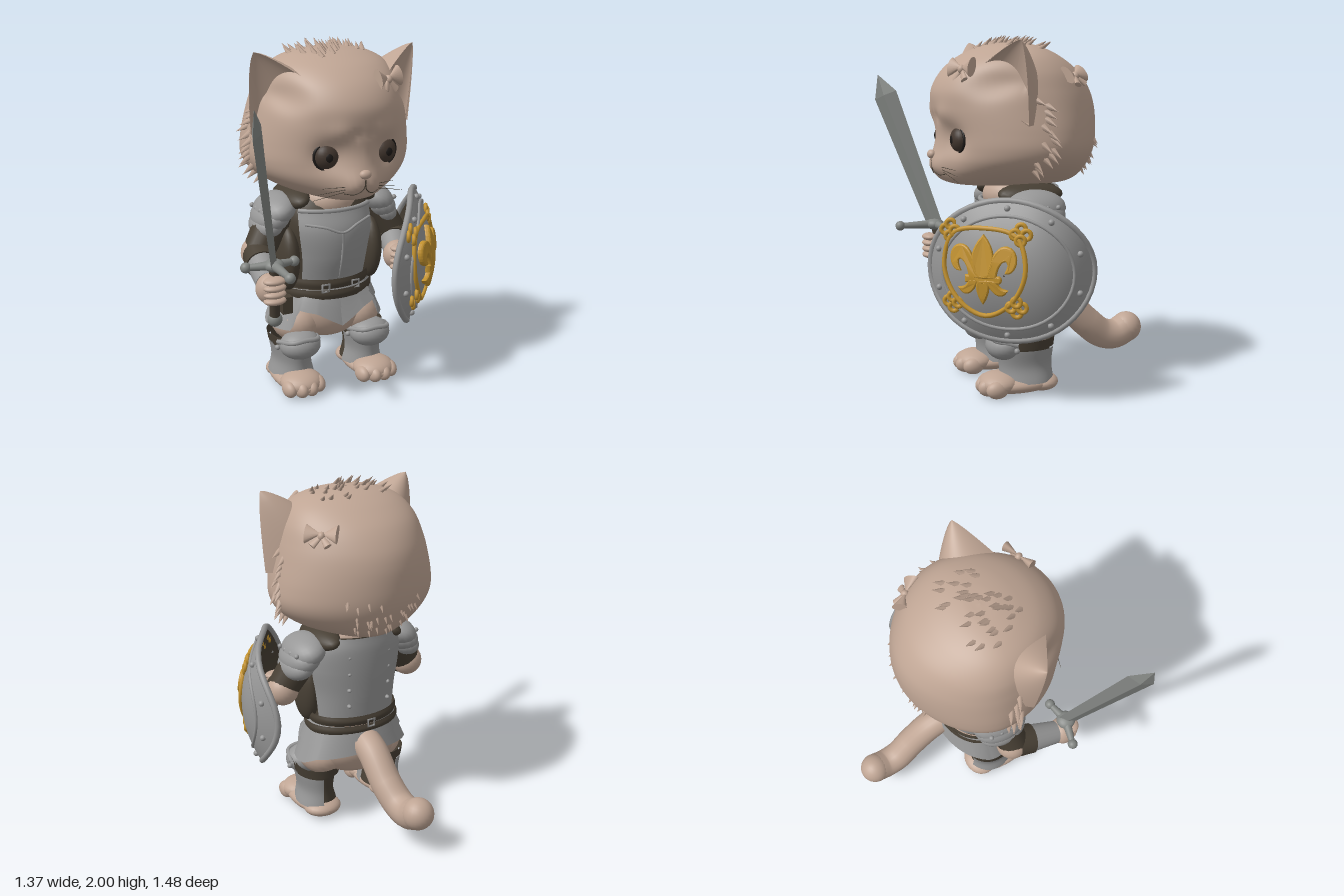
import * as THREE from 'three';
import { ParametricGeometry } from 'three/addons/geometries/ParametricGeometry.js';

const V = (x, y, z) => new THREE.Vector3(x, y, z);
const mat = (name, color, side = THREE.FrontSide) => {
  const m = new THREE.MeshStandardMaterial({ color, side });
  m.name = name;
  return m;
};

export function createModel() {
  const root = new THREE.Group();
  root.name = 'kittenKnight';
  const fur = mat('fur', 0xbfa594), steel = mat('steel', 0x979797, THREE.DoubleSide);
  const leather = mat('darkLeather', 0x473f34, THREE.DoubleSide), gold = mat('gold', 0xc4932f);
  const eyeBrown = mat('eyeBrown', 0x43372f), black = mat('pupilBlack', 0x1d1917), bladeMat = mat('bladeSteel', 0x838683);
  let seed = 7;
  const rnd = () => (seed = (seed * 16807) % 2147483647) / 2147483647;

  // ---------- helpers ----------
  const add = (name, geo, m, parent = root) => {
    const mesh = new THREE.Mesh(geo, m);
    mesh.name = name;
    parent.add(mesh);
    return mesh;
  };
  const ball = (name, p, s, m, parent) => {
    const b = add(name, new THREE.SphereGeometry(1, 24, 16), m, parent);
    b.position.copy(p);
    b.scale.set(...(Array.isArray(s) ? s : [s, s, s]));
    return b;
  };
  // Stand an object at p with its y axis along dir and its z axis near face
  const place = (o, p, dir, face) => {
    const y = dir.clone().normalize(), x = new THREE.Vector3().crossVectors(y, face).normalize();
    o.quaternion.setFromRotationMatrix(new THREE.Matrix4().makeBasis(x, y, new THREE.Vector3().crossVectors(x, y)));
    o.position.copy(p);
    return o;
  };
  const rod = (name, a, b, ra, rb, m, parent) => {
    const d = b.clone().sub(a);
    const r = add(name, new THREE.CylinderGeometry(rb, ra, d.length(), 20), m, parent);
    r.position.copy(a).add(b).multiplyScalar(0.5);
    r.quaternion.setFromUnitVectors(V(0, 1, 0), d.normalize());
    return r;
  };
  const tube = (name, pts, r, m, closed = false, parent = root) =>
    add(name, new THREE.TubeGeometry(new THREE.CatmullRomCurve3(pts, closed), 48, r, 8, closed), m, parent);
  const flat = (g) => { const f = g.toNonIndexed(); f.computeVertexNormals(); return f; };
  // Surface through rings of [y, half width, front z, back z]; angle 90 degrees is the front
  const surface = (rings, a0 = 0, a1 = Math.PI * 2, cx = 0, bend = () => {}) => {
    const A = new THREE.CatmullRomCurve3(rings.map((r) => V(r[1], r[0], 0)), false, 'catmullrom');
    const B = new THREE.CatmullRomCurve3(rings.map((r) => V(r[2], r[3], 0)), false, 'catmullrom');
    return (u, v, t) => {
      const a = A.getPoint(v), b = B.getPoint(v), th = a0 + (a1 - a0) * (1 - u);
      const c = b.x * 0.45 + b.y * 0.55, s = Math.sin(th);
      t.set(cx + a.x * Math.cos(th), a.y, c + (s > 0 ? b.x - c : c - b.y) * s);
      bend(t);
    };
  };
  const loft = (name, rings, m, a0, a1, cx) => add(name, new ParametricGeometry(surface(rings, a0, a1, cx), 48, rings.length * 6), m);
  const grow = (rings, d) => rings.map(([y, w, f, b]) => [y, w + d, f + d, b - d]);
  const rad = THREE.MathUtils.degToRad;

  // ---------- head ----------
  const g = (p, x, y, s) => Math.exp(-((p.x - x) ** 2 + (p.y - y) ** 2) / (s * s));
  const headFn = surface([
    [1.165, 0.01, 0.12, 0.1], [1.167, 0.14, 0.36, -0.18], [1.195, 0.25, 0.48, -0.275], [1.245, 0.36, 0.51, -0.32], [1.31, 0.44, 0.52, -0.355],
    [1.385, 0.475, 0.52, -0.38], [1.48, 0.47, 0.53, -0.39], [1.6, 0.445, 0.55, -0.385], [1.7, 0.42, 0.55, -0.355], [1.8, 0.385, 0.495, -0.285],
    [1.88, 0.325, 0.4, -0.18], [1.93, 0.235, 0.29, -0.08], [1.955, 0.12, 0.19, 0.01], [1.96, 0.005, 0.1, 0.09]], 0, Math.PI * 2, 0, (p) => {
    if (p.z < 0) p.x *= 1 - p.z * p.z;
    if (p.z < 0.1) return;
    const ax = { x: Math.abs(p.x), y: p.y };
    p.z += 0.04 * g(p, 0, 1.31, 0.11) + 0.02 * g(ax, 0.06, 1.27, 0.06) - 0.04 * g(ax, 0.17, 1.44, 0.085)
      + 0.012 * g(ax, 0.13, 1.57, 0.06) - 0.008 * g(ax, 0.035, 1.55, 0.035) - 0.07 * g(ax, 0.36, 1.74, 0.075) * Math.min(1, (p.z - 0.1) * 10);
  });
  const head = add('head', new ParametricGeometry(headFn, 96, 90), fur);
  head.updateMatrixWorld();
  const onFace = (x, y, off = 0) => {
    const hit = new THREE.Raycaster(V(x, y, 3), V(0, 0, -1)).intersectObject(head)[0];
    return V(x, y, (hit ? hit.point.z : 0.45) + off);
  };
  ball('nose', onFace(0, 1.345, 0.005), [0.034, 0.025, 0.024], fur);
  for (const s of [-1, 1]) {
    const e = onFace(s * 0.168, 1.435, -0.012), look = V(s * 0.25, 0, 1).normalize();
    ball('eye', e, [0.071, 0.071, 0.056], eyeBrown);
    const iris = e.clone().addScaledVector(look, 0.042);
    place(ball('pupil', iris, [0.028, 0.03, 0.017], black), iris, V(0, 1, 0), look);
    place(add('eyelid', new THREE.TorusGeometry(0.072, 0.008, 8, 32), black), e.clone().addScaledVector(look, 0.016), V(0, 1, 0), look);
    tube('mouthLine', [[0, 1.315], [s * 0.008, 1.265], [s * 0.05, 1.235], [s * 0.1, 1.24]].map(([x, y]) => onFace(x, y)), 0.003, leather);
    for (let i = 0; i < 3; i++) rod('whisker', onFace(s * 0.1, 1.25 + i * 0.015), V(s * (0.27 - i * 0.03), 1.21 + i * 0.03, 0.48), 0.002, 0.001, leather);
    // Ear: a rounded cone whose front half is folded back into a hollow
    const ear = new THREE.ConeGeometry(0.24, 0.38, 48, 16), pos = ear.attributes.position;
    for (let i = 0; i < pos.count; i++) {
      const k = Math.max(0.02, 0.5 - pos.getY(i) / 0.38) ** -0.22, z = pos.getZ(i) * k;
      pos.setX(i, pos.getX(i) * k);
      pos.setZ(i, z * (z > 0 ? -0.5 : 1.45));
    }
    ear.translate(0, -0.19, 0);
    ear.computeVertexNormals();
    place(add('ear', ear, fur), V(s * 0.475, 1.965, 0.2), V(s * 0.125, 0.25, -0.06), V(s * 0.58, 0, 0.81));
  }

  // Fur tufts on the crown, cheeks and nape
  const tuft = (deg, v, r, h, lean) => {
    const p = V();
    headFn(1 - deg / 360, v, p);
    const d = p.clone().sub(V(0, 1.5, 0.08)).normalize().add(lean).normalize();
    const c = add('furTuft', new THREE.ConeGeometry(r, h, 6), fur);
    c.quaternion.setFromUnitVectors(V(0, 1, 0), d);
    c.position.copy(p).addScaledVector(d, h * 0.25);
  };
  for (let i = 0; i < 36; i++) tuft(rnd() * 360, 0.83 + rnd() * 0.15, 0.018, 0.06 + rnd() * 0.03, V(0, 0, -1.1));
  for (let i = 0; i < 14; i++) for (const s of [0, 1]) {
    const a = -2 + rnd() * 10;
    tuft(s ? 180 - a : a, 0.26 + i * 0.024, 0.022, 0.085, V(s ? -0.1 : 0.1, -0.7, -0.5));
  }
  for (let i = 0; i < 30; i++) tuft(235 + rnd() * 70, 0.22 + rnd() * 0.2, 0.011, 0.045, V(0, -1.1, 0));

  // Bows
  const bow = (p, up, face) => {
    const b = place(new THREE.Group(), p, up, face);
    b.name = 'bow';
    root.add(b);
    ball('bowKnot', V(0, 0, 0.01), [0.02, 0.024, 0.022], fur, b);
    for (const s of [-1, 1]) {
      const loop = add('bowLoop', new THREE.ConeGeometry(0.055, 0.085, 20), fur, b);
      loop.scale.z = 0.5;
      loop.rotation.z = s * Math.PI / 2;
      loop.position.set(s * 0.045, 0.01, 0.014);
      rod('bowTail', V(0, 0, 0.01), V(s * 0.045, -0.06, 0.01), 0.01, 0.022, fur, b).scale.z = 0.6;
    }
  };
  bow(V(0.19, 1.81, 0.43), V(-0.15, 1, -0.3), V(0.35, 0.45, 0.85));
  bow(V(0.305, 1.77, -0.165), V(-0.5, 0.8, 0.5), V(0.7, 0.5, -0.6));

  // ---------- body and armour ----------
  ball('neck', V(0, 1.1, 0.09), [0.17, 0.12, 0.17], fur);
  loft('hips', [[0.27, 0.01, 0.06, 0.04], [0.28, 0.14, 0.17, -0.1], [0.34, 0.24, 0.23, -0.15], [0.44, 0.275, 0.25, -0.175], [0.6, 0.24, 0.22, -0.14]], fur);
  const torso = [[0.55, 0.255, 0.24, -0.14], [0.65, 0.235, 0.24, -0.14], [0.8, 0.25, 0.28, -0.155], [0.95, 0.275, 0.29, -0.165], [1.07, 0.27, 0.25, -0.165], [1.15, 0.22, 0.2, -0.155]];
  loft('undercoat', torso, leather);
  loft('breastplate', grow(torso.slice(1, 5), 0.018), steel, rad(40), rad(140));
  loft('backplate', grow(torso.slice(1, 6), 0.018), steel, rad(190), rad(350));
  const collarAt = surface(grow([[1.07, 0.27, 0.25, -0.165], [1.071, 0.27, 0.25, -0.165]], 0.018));
  tube('collarTrim', Array.from({ length: 13 }, (_, i) => {
    const p = V();
    collarAt(1 - (41 + 98 * i / 12) / 360, 0, p);
    return p;
  }), 0.013, steel);
  tube('chestRidge', [V(-0.2, 1.0, 0.235), V(-0.1, 0.985, 0.29), V(0, 0.95, 0.31), V(0.1, 0.985, 0.29), V(0.2, 1.0, 0.235)], 0.008, steel);
  tube('centreRidge', [V(0, 0.95, 0.306), V(0, 0.8, 0.298), V(0, 0.67, 0.258)], 0.008, steel);
  for (const s of [-1, 1]) {
    ball('sidePadding', V(s * 0.26, 0.78, 0.12), [0.065, 0.19, 0.11], leather);
    for (let i = 0; i < 4; i++) ball('backRivet', V(s * 0.13, 0.74 + i * 0.1, -0.15), [0.012, 0.012, 0.016], steel);
  }

  // Belt with buckles and pouch
  for (const [y, w] of [[0.58, 0.287], [0.638, 0.272]]) loft('belt', [[y - 0.028, w, w, -0.165], [y, w + 0.006, w + 0.006, -0.175], [y + 0.028, w, w, -0.165]], leather);
  for (const [x, z] of [[-0.09, 0.275], [0.1, 0.27], [0, -0.182]]) {
    const b = add('buckle', new THREE.TorusGeometry(0.03, 0.008, 4, 4), steel);
    b.rotation.z = Math.PI / 4;
    b.position.set(x, 0.62, z);
  }
  add('pouch', new THREE.BoxGeometry(0.06, 0.1, 0.09), leather).position.set(-0.29, 0.52, 0.15);

  // Skirt plates, with a lower edge that varies around the waist
  const edge = [[0, 0.39], [0.42, 0.475], [0.75, 0.5], [0.88, 0.37], [1.75, 0.37], [2.1, 0.41], [3.15, 0.445]];
  const hem = (d) => {
    const i = Math.max(1, edge.findIndex((e) => e[0] >= d));
    const [[a, ya], [b, yb]] = [edge[i - 1], edge[i]];
    return ya + (yb - ya) * (d - a) / (b - a);
  };
  for (const [len, out] of [[1, 0], [0.5, 0.012]]) {
    add('skirtPlate', new ParametricGeometry((u, v, t) => {
      const th = (1 - u) * Math.PI * 2 + Math.PI / 2, d = Math.min(th - Math.PI / 2, Math.PI * 2.5 - th), k = (1 - v) * len;
      const s = Math.sin(th);
      t.set((0.26 + 0.1 * k + out) * Math.cos(th), 0.6 + (hem(Math.max(0, d)) - 0.6) * k, 0.05 + (s > 0 ? 0.2 + 0.06 * k + out : 0.2 + 0.04 * k + out) * s);
    }, 96, 6), steel);
  }

  // Tail
  const tailPts = [V(0.01, 0.5, -0.08), V(0.015, 0.45, -0.22), V(0.015, 0.31, -0.37), V(0, 0.225, -0.48), V(-0.005, 0.21, -0.57), V(-0.01, 0.245, -0.65)];
  add('tail', new THREE.TubeGeometry(new THREE.CatmullRomCurve3(tailPts), 40, 0.09, 20), fur);
  ball('tailTip', tailPts[5], 0.092, fur);

  // ---------- legs ----------
  for (const s of [-1, 1]) {
    const x = s * 0.225;
    ball('thigh', V(s * 0.19, 0.38, 0.07), [0.145, 0.13, 0.165], fur);
    const leg = [[0.07, 0.115, 0.23, -0.06], [0.16, 0.095, 0.23, -0.05], [0.26, 0.11, 0.25, -0.06], [0.31, 0.12, 0.25, -0.07]];
    loft('legWrap', grow(leg, -0.005), leather, 0, Math.PI * 2, x);
    // The greave wraps the outer side and leaves the inner calf open
    loft('greave', grow(leg.slice(0, 3), 0.014), steel, rad(s > 0 ? -75 : 10), rad(s > 0 ? 170 : 255), x);
    ball('kneeGuard', V(x, 0.28, 0.215), [0.122, 0.085, 0.105], steel);
    tube('kneeTrim', [V(x - s * 0.12, 0.3, 0.17), V(x - s * 0.075, 0.325, 0.285), V(x, 0.335, 0.3), V(x + s * 0.075, 0.325, 0.285), V(x + s * 0.12, 0.3, 0.17)], 0.014, steel);
    loft('kneeStrap', [[0.27, 0.126, 0.24, -0.075], [0.32, 0.134, 0.24, -0.08]], leather, 0, Math.PI * 2, x);
    for (const d of [-1, 1]) ball('kneeRivet', V(x + d * 0.125, 0.27, 0.18), 0.016, steel);
    // Paw with heel, instep and four toes
    ball('foot', V(s * 0.235, 0.054, 0.135), [0.122, 0.054, 0.235], fur);
    ball('heel', V(s * 0.232, 0.05, 0), [0.115, 0.05, 0.1], fur);
    ball('instep', V(s * 0.235, 0.065, 0.25), [0.124, 0.065, 0.115], fur);
    for (let i = 0; i < 4; i++) ball('toe', V(s * 0.235 + (i - 1.5) * 0.059, 0.05, i % 3 ? 0.315 : 0.285), [0.041, 0.05, 0.064], fur);
  }

  // ---------- arms ----------
  for (const s of [-1, 1]) {
    const elbow = V(s * 0.43, 0.83, 0.1), hand = s < 0 ? V(-0.485, 0.735, 0.41) : V(0.36, 0.76, 0.28);
    rod('sleeve', V(s * 0.3, 1.04, 0.06), elbow, 0.105, 0.09, leather);
    ball('elbow', elbow.clone().add(V(0, 0, -0.01)), 0.093, fur);
    rod('cuff', elbow, elbow.clone().lerp(hand, 0.35), 0.09, 0.09, leather);
    rod('vambrace', elbow.clone().lerp(hand, 0.3), elbow.clone().lerp(hand, 0.85), 0.084, 0.068, steel);
    ball('hand', hand, [0.08, 0.085, 0.075], fur);
    for (let i = 0; i < 4; i++) ball('finger', hand.clone().add(V(-s * 0.005, 0.058 - i * 0.037, 0.052)), [0.064, 0.023, 0.045], fur);
    // Layered shoulder plates
    [[0.31, 1.065, 0.12, 0.085], [0.335, 1.025, 0.11, 0.085], [0.36, 0.98, 0.095, 0.075]].forEach(([x, y, w, h]) => {
      ball('shoulderPlate', V(s * x, y, 0.055), [w, h, w + 0.05], steel).rotation.z = -s * 0.45;
    });
    for (let i = 0; i < 4; i++) ball('shoulderRivet', V(s * 0.405, 1.07, -0.04 + i * 0.065), 0.014, steel);
    ball('neckStrap', V(s * 0.205, 1.125, 0.05), [0.085, 0.055, 0.19], leather).rotation.z = -s * 0.4;
  }

  // ---------- sword ----------
  const hilt = V(-0.47, 0.87, 0.43), axis = V(-0.21, 0.9, 0.29), face = V(0.79, 0, 0.62);
  const sword = place(new THREE.Group(), hilt, axis, face);
  sword.name = 'sword';
  root.add(sword);
  for (const [name, top, bottom, h, y] of [['blade', 0.077, 0.05, 0.84, 0.42], ['bladeTip', 0.002, 0.077, 0.13, 0.905]]) {
    const b = add(name, flat(new THREE.CylinderGeometry(top, bottom, h, 4)), bladeMat, sword);
    b.scale.z = 0.33;
    b.position.y = y;
  }
  const pommel = V(-0.44, 0.53, 0.36);
  rod('grip', hilt, pommel, 0.026, 0.03, leather);
  ball('pommel', pommel, [0.042, 0.042, 0.04], bladeMat);
  ball('guardHub', hilt, [0.055, 0.035, 0.055], bladeMat);
  for (const e of [V(-0.615, 0.865, 0.39), V(-0.34, 0.865, 0.4), V(-0.47, 0.87, 0.645)]) {
    rod('guardArm', hilt, e, 0.028, 0.016, bladeMat);
    ball('guardKnob', e, 0.029, bladeMat);
  }

  // ---------- shield ----------
  const shield = new THREE.Group();
  shield.name = 'shield';
  shield.position.set(0.385, 0.75, 0.225);
  shield.rotation.y = 1.06;
  root.add(shield);
  const RX = 0.45, RY = 0.38;
  // Bent around the upright axis, with a softer curve from top to bottom
  const dome = (x, y) => 0.205 * (1 - Math.abs(x / RX) ** 3) * (1 + 0.2 * x / RX) - 0.12 * (y / RY) ** 2;
  const onDome = (x, y, z = 0) => V(x, y, dome(x, y) + z);
  const polar = (k, a, z) => onDome(RX * k * Math.cos(a), RY * k * Math.sin(a), z);
  const disc = new ParametricGeometry((u, v, t) => t.copy(polar(0.01 + v * 0.99, -u * Math.PI * 2, 0)), 64, 16);
  add('shieldFace', disc, steel, shield);
  add('shieldBack', disc, leather, shield).position.z = -0.015;
  const loop = (k, z) => Array.from({ length: 32 }, (_, i) => polar(k, i * Math.PI / 16, z));
  tube('shieldRim', loop(1, -0.005), 0.018, steel, true, shield);
  tube('shieldBand', loop(0.8, 0.002), 0.01, steel, true, shield);
  for (let i = 0; i < 10; i++) ball('shieldRivet', polar(0.9, (i + 0.5) * Math.PI / 5, 0.004), 0.017, steel, shield);
  tube('shieldGrip', [V(-0.18, 0, 0.15), V(-0.08, 0, 0.08), V(0.08, 0, 0.08), V(0.18, 0, 0.16)], 0.02, leather, false, shield);

  // Gold lily and its frame, draped over the dome
  const ex = -0.115, ey = 0.02;
  const petal = (s, start, ...curves) => {
    const sh = new THREE.Shape().moveTo(s * start[0], start[1]);
    for (const [a, b, c, d, e, f] of curves) sh.bezierCurveTo(s * a, b, s * c, d, s * e, f);
    const geo = new THREE.ExtrudeGeometry(sh, { depth: 0.012, bevelSize: 0.008, bevelThickness: 0.01, bevelSegments: 2, curveSegments: 10 });
    geo.translate(ex, ey, 0.008);
    const p = geo.attributes.position;
    for (let i = 0; i < p.count; i++) p.setZ(i, p.getZ(i) + dome(p.getX(i), p.getY(i)));
    geo.computeVertexNormals();
    add('lilyPetal', geo, gold, shield);
  };
  petal(1, [0, 0.18], [0.075, 0.1, 0.06, 0.02, 0.025, -0.03], [0.01, -0.03, -0.01, -0.03, -0.025, -0.03], [-0.06, 0.02, -0.075, 0.1, 0, 0.18]);
  petal(1, [-0.02, -0.05], [-0.04, -0.09, -0.02, -0.13, 0, -0.17], [0.02, -0.13, 0.04, -0.09, 0.02, -0.05]);
  petal(1, [-0.09, -0.055], [-0.03, -0.06, 0.03, -0.06, 0.09, -0.055], [0.1, -0.05, 0.1, -0.035, 0.09, -0.03], [0.03, -0.025, -0.03, -0.025, -0.09, -0.03]);
  for (const s of [-1, 1]) {
    petal(s, [0.03, -0.03], [0.05, 0.08, 0.09, 0.15, 0.15, 0.12], [0.2, 0.09, 0.18, 0, 0.13, 0], [0.16, 0.04, 0.14, 0.08, 0.11, 0.06], [0.08, 0.04, 0.07, -0.01, 0.07, -0.03]);
    petal(s, [0.03, -0.05], [0.05, -0.1, 0.09, -0.15, 0.13, -0.1], [0.1, -0.1, 0.08, -0.08, 0.07, -0.05]);
    for (const [x, y] of [[0.2, 0.195], [0.18, -0.19]]) for (let i = 0; i < 4; i++) {
      const a = i * Math.PI / 2;
      const c = add('cornerScroll', new THREE.TorusGeometry(0.024, 0.012, 8, 16), gold, shield);
      c.position.copy(onDome(ex + s * x + 0.03 * Math.cos(a), ey + y + 0.03 * Math.sin(a), 0.008));
    }
  }
  tube('lilyFrame', [[-0.18, 0.18], [0, 0.22], [0.18, 0.18], [0.23, 0], [0.15, -0.17], [0, -0.25], [-0.15, -0.17], [-0.23, 0]]
    .map(([x, y]) => onDome(ex + x, ey + y, 0.008)), 0.013, gold, true, shield);
  return root;
}
